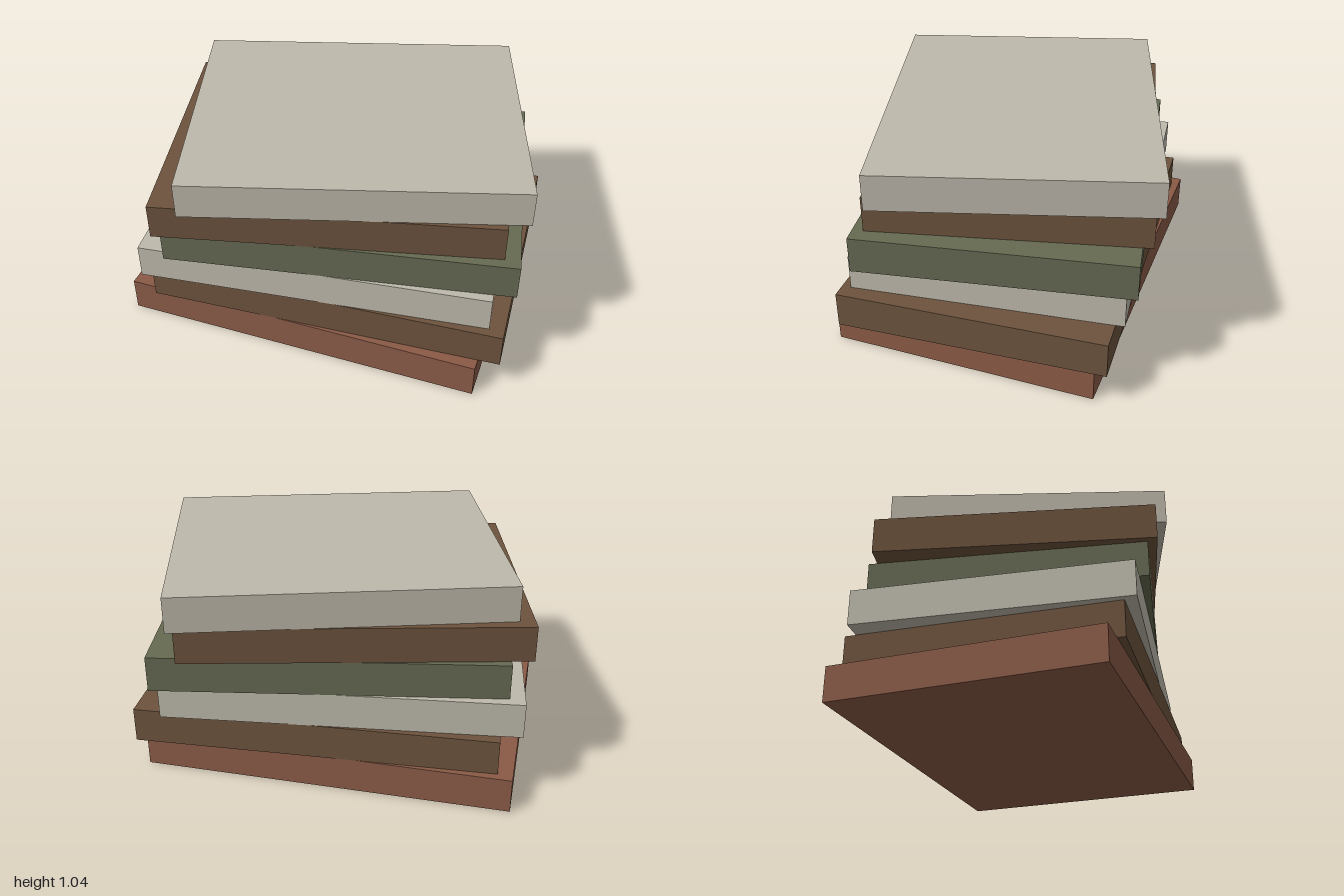
import * as THREE from 'three';

// A fanned stack of six slabs, each a little narrower and turned further than the one below.
export function createModel() {
  const group = new THREE.Group();
  const paint = (name, color) => {
    const m = new THREE.MeshStandardMaterial({ color });
    m.name = name;
    return m;
  };
  const terracotta = paint('terracotta', 0x8a5a46);
  const brown = paint('brown', 0x6d533d);
  const stone = paint('stone', 0xbeb9ac);
  const green = paint('mossGreen', 0x666a52);

  const height = 0.1727;
  const depth = 1.286;
  const covers = [terracotta, brown, stone, green, brown, stone];

  covers.forEach((material, i) => {
    const width = 1.79 - i * 0.0425;
    const book = new THREE.Mesh(new THREE.BoxGeometry(width, height, depth), material);
    book.name = `book${i + 1}`;
    // books shift alternately left and right
    book.position.set(i % 2 === 0 && i < 5 ? -0.018 : 0.07, (i + 0.5) * height, 0);
    if (i === 4) book.position.x = -0.019;
    book.rotation.y = -0.15 + i * 0.06;
    group.add(book);
  });
  // the fifth and sixth books follow the same alternation
  return group;
}
